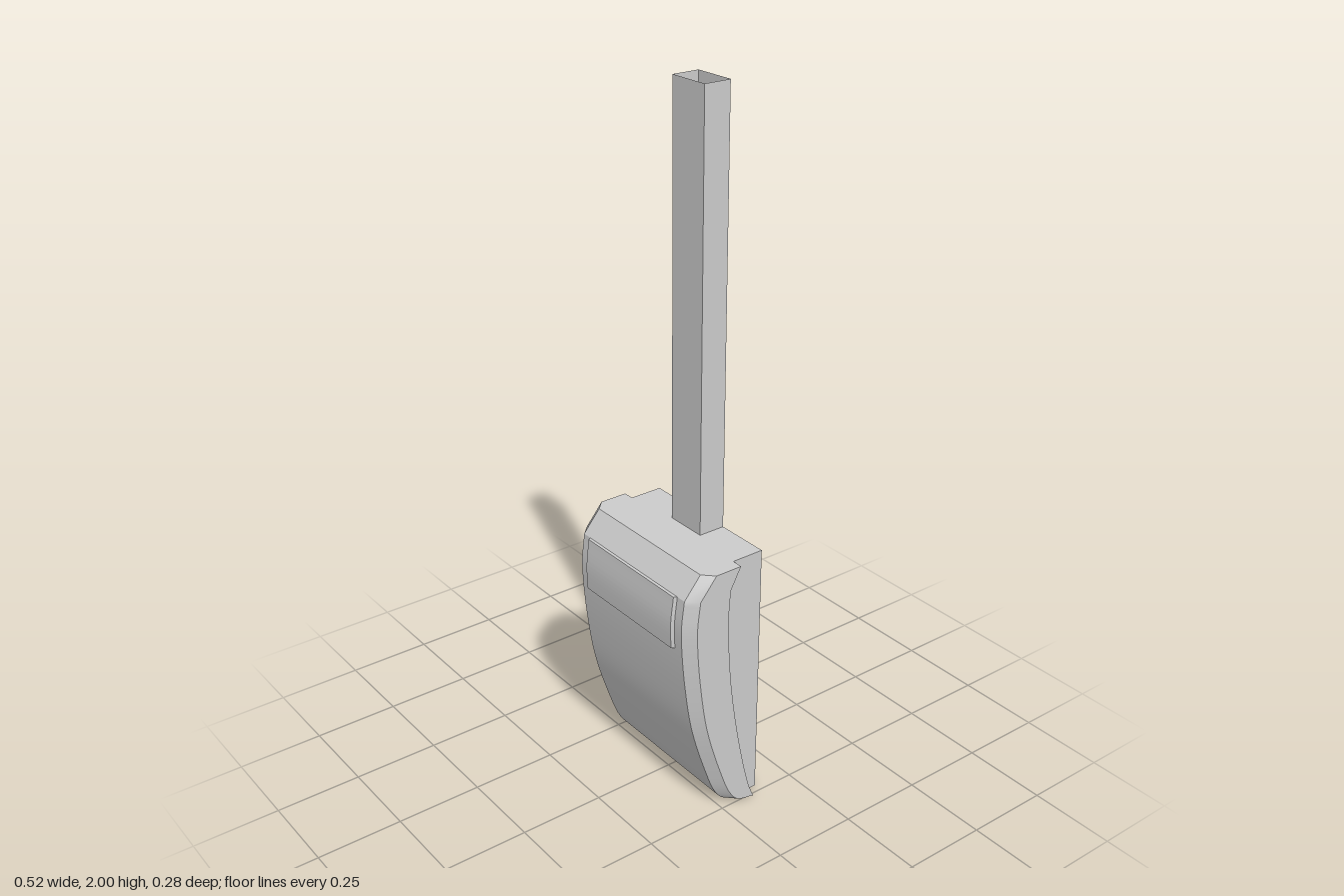
import * as THREE from 'three';
import { toCreasedNormals } from 'three/addons/utils/BufferGeometryUtils.js';

const material = new THREE.MeshStandardMaterial({ color: 0xcccccc });

// Loft through horizontal sections [{ y, pts: [[x, z], ...] }], closed at both ends
function loft(sections) {
  const pos = [];
  const put = (s, i) => pos.push(s.pts[i][0], s.y, s.pts[i][1]);
  const n = sections[0].pts.length;
  for (let k = 0; k < sections.length - 1; k++) {
    const lo = sections[k], hi = sections[k + 1];
    for (let i = 0; i < n; i++) {
      const j = (i + 1) % n;
      put(lo, i); put(hi, i); put(lo, j);
      put(lo, j); put(hi, i); put(hi, j);
    }
  }
  for (const [s, up] of [[sections[0], false], [sections[sections.length - 1], true]]) {
    const contour = s.pts.map(([x, z]) => new THREE.Vector2(x, z));
    for (const [a, b, c] of THREE.ShapeUtils.triangulateShape(contour, [])) {
      const area = THREE.ShapeUtils.area([contour[a], contour[b], contour[c]]);
      const order = (area < 0) === up ? [a, b, c] : [a, c, b];
      order.forEach((i) => put(s, i));
    }
  }
  const geometry = new THREE.BufferGeometry();
  geometry.setAttribute('position', new THREE.Float32BufferAttribute(pos, 3));
  return toCreasedNormals(geometry, 0.5);
}

// Side profile: x = front depth, y = height, z = rear edge of the side flange
const profile = new THREE.CatmullRomCurve3([
  [-0.075, 0, -0.107], [-0.02, 0.015, -0.1], [0.01, 0.05, -0.087],
  [0.05, 0.15, -0.062], [0.095, 0.3, -0.033], [0.118, 0.44, -0.014],
  [0.13, 0.57, -0.005], [0.131, 0.64, -0.004], [0.122, 0.715, -0.009],
].map((p) => new THREE.Vector3(...p)));

// Mirror the right half of a section (back to front) onto the left
const mirror = (half) => [...half, ...half.map(([x, z]) => [-x, z]).reverse()];

function mesh(name, geometry, mat = material) {
  const m = new THREE.Mesh(geometry, mat);
  m.name = name;
  return m;
}

export function createModel() {
  const group = new THREE.Group();
  group.name = 'housingOnPole';
  const back = -0.14, top = 0.777;

  // Housing with curved front, chamfered corners and stepped side flanges
  const stations = [...profile.getPoints(40), new THREE.Vector3(0.07, top, -0.042)];
  group.add(mesh('housing', loft(stations.map(({ x: front, y, z: rear }) => ({
    y,
    pts: mirror([
      [0.226, back], [0.226, rear], [0.258, rear], [0.258, front - 0.03], [0.228, front],
    ]),
  })))));

  // Raised panel following the front curve
  const panel = profile.getPoints(100).filter((p) => p.y >= 0.552);
  group.add(mesh('frontPanel', loft(panel.map(({ x: front, y }) => ({
    y,
    pts: mirror([[0.2, front - 0.004], [0.193, front + 0.009]]),
  })))));

  // Hollow square pole, open at the ends
  const w = 0.0625, poleFront = -0.06, height = 2 - top;
  const thin = material.clone();
  thin.side = THREE.DoubleSide;
  const depth = poleFront - back;
  const pole = new THREE.Group();
  pole.name = 'pole';
  pole.position.set(0, top + height / 2, (poleFront + back) / 2);
  for (let i = 0; i < 4; i++) {
    const across = i % 2 === 0;
    const wall = mesh('poleWall', new THREE.PlaneGeometry(across ? 2 * w : depth, height), thin);
    const angle = (i * Math.PI) / 2, out = across ? depth / 2 : w;
    wall.rotation.y = angle;
    wall.position.set(Math.sin(angle) * out, 0, Math.cos(angle) * out);
    pole.add(wall);
  }
  group.add(pole);
  return group;
}
